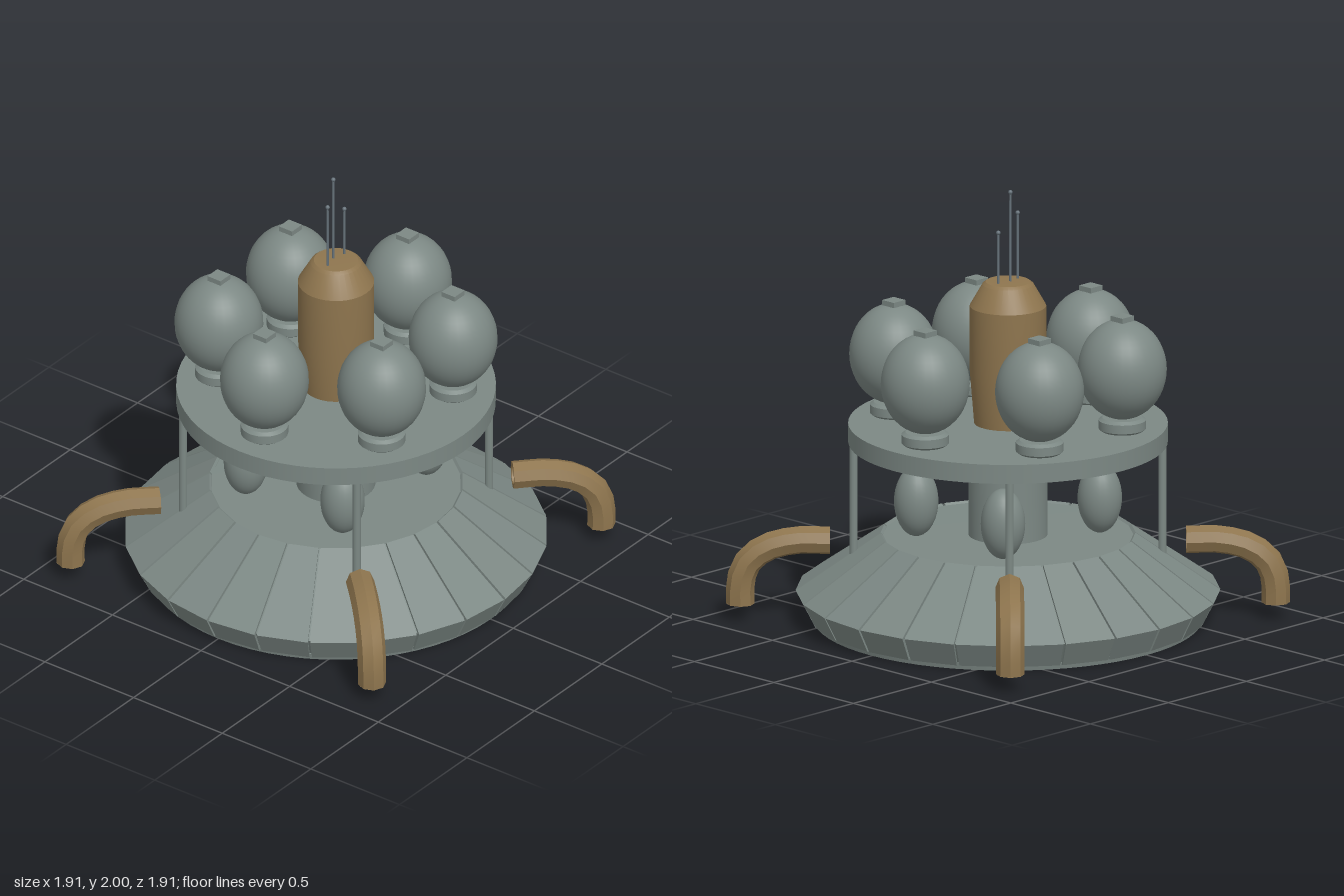
import * as THREE from 'three';
import { toCreasedNormals } from 'three/addons/utils/BufferGeometryUtils.js';

const hull = new THREE.MeshStandardMaterial({ color: 0x7c8884 });
hull.name = 'greyGreenHull';
const bronze = new THREE.MeshStandardMaterial({ color: 0x8e754e, side: THREE.DoubleSide });
bronze.name = 'bronze';
const aerial = new THREE.MeshStandardMaterial({ color: 0x66727a });
aerial.name = 'aerialMetal';

function add(parent, name, geometry, material, x = 0, y = 0, z = 0) {
  const mesh = new THREE.Mesh(geometry, material);
  mesh.name = name;
  mesh.position.set(x, y, z);
  parent.add(mesh);
  return mesh;
}

// Surface of revolution from [radius, height] pairs, listed upwards
function lathe(profile, segments, crease = 0.4) {
  const points = profile.map(([r, y]) => new THREE.Vector2(r, y));
  return toCreasedNormals(new THREE.LatheGeometry(points, segments), crease);
}

const PANELS = 24;
const STEP = (Math.PI * 2) / PANELS;

// One bent plate of the dish skirt, with a small gap on either side
function panelGeometry() {
  const section = [[0.895, 0.022], [0.953, 0.135], [0.572, 0.401], [0.555, 0.385], [0.93, 0.125], [0.88, 0.022]];
  const gap = 0.006;
  const end = (angle, shift) => section.map(([r, y]) => [
    r * Math.sin(angle) + shift * Math.cos(angle), y,
    r * Math.cos(angle) - shift * Math.sin(angle),
  ]);
  const left = end(-STEP / 2, gap);
  const right = end(STEP / 2, -gap);
  const positions = [];
  const quad = (a, b, c, d) => positions.push(...a, ...b, ...c, ...a, ...c, ...d);
  for (let i = 0; i < 6; i++) {
    const j = (i + 1) % 6;
    quad(left[i], right[i], right[j], left[j]);
  }
  for (const [a, b, c, d] of [[0, 1, 4, 5], [1, 2, 3, 4]]) {
    quad(left[a], left[b], left[c], left[d]);
    quad(right[d], right[c], right[b], right[a]);
  }
  const geometry = new THREE.BufferGeometry();
  geometry.setAttribute('position', new THREE.Float32BufferAttribute(positions, 3));
  geometry.computeVertexNormals();
  return geometry;
}

function createDish() {
  const dish = new THREE.Group();
  dish.name = 'dish';
  add(dish, 'dishBottom', new THREE.CylinderGeometry(0.88, 0.873, 0.03, 64), hull, 0, 0.015, 0);
  add(dish, 'dishCore', lathe([[0.87, 0.025], [0.935, 0.132], [0.562, 0.392], [0, 0.396]], PANELS, 0.1), hull);
  const panel = panelGeometry();
  for (let i = 0; i < PANELS; i++) {
    add(dish, 'skirtPanel', panel, hull).rotation.y = (i + 0.5) * STEP;
  }
  return dish;
}

// Hollow elbow pipe running outward along local x, then down
function createPipe() {
  const pipe = new THREE.Group();
  pipe.name = 'elbowPipe';
  const path = new THREE.CatmullRomCurve3(
    [[0.8, 0.367], [0.96, 0.367], [1.09, 0.332], [1.17, 0.265], [1.2, 0.18], [1.202, 0.075]]
      .map(([x, y]) => new THREE.Vector3(x, y, 0)));
  const outer = 0.064, inner = 0.045;
  add(pipe, 'pipeOuter', toCreasedNormals(new THREE.TubeGeometry(path, 9, outer, 8), 0.5), bronze);
  add(pipe, 'pipeInner', new THREE.TubeGeometry(path, 9, inner, 8), bronze);
  const rim = new THREE.RingGeometry(inner, outer, 8);
  add(pipe, 'innerRim', rim, bronze, 0.8, 0.367, 0).rotation.y = -Math.PI / 2;
  add(pipe, 'lowerRim', rim, bronze, 1.202, 0.075, 0).rotation.x = Math.PI / 2;
  return pipe;
}

// Egg tank on a bevelled collar, with a square cap
function createTank() {
  const tank = new THREE.Group();
  tank.name = 'tank';
  const collar = [[0.09, 0.912], [0.107, 0.925], [0.107, 0.965], [0.09, 0.977], [0, 0.977]];
  add(tank, 'collar', lathe(collar, 32), hull);
  add(tank, 'tankBody', new THREE.SphereGeometry(1, 32, 24), hull, 0, 1.2, 0).scale.set(0.2, 0.229, 0.2);
  add(tank, 'tankCap', new THREE.BoxGeometry(0.074, 0.024, 0.074), hull, 0, 1.436, 0);
  return tank;
}

export function createModel() {
  const model = new THREE.Group();
  model.name = 'station';
  model.add(createDish());

  // Central column and upper platform
  add(model, 'column', lathe([[0.178, 0.39], [0.178, 0.716], [0.122, 0.835]], 32), hull);
  add(model, 'platform', new THREE.CylinderGeometry(0.718, 0.718, 0.088, 64), hull, 0, 0.871, 0);

  // Posts, pods and pipes, one of each per quarter
  const post = new THREE.CylinderGeometry(0.019, 0.019, 0.54, 12);
  const pod = new THREE.SphereGeometry(1, 24, 18);
  for (const sx of [-1, 1]) {
    for (const sz of [-1, 1]) {
      add(model, 'post', post, hull, sx * 0.49, 0.57, sz * 0.49);
      add(model, 'pod', pod, hull, sx * 0.31, 0.557, sz * 0.273).scale.set(0.1, 0.162, 0.1);
      const pipe = createPipe();
      pipe.rotation.y = Math.atan2(-sz, sx);
      model.add(pipe);
    }
  }

  // Ring of six tanks
  for (let i = 0; i < 6; i++) {
    const angle = (i * Math.PI) / 3;
    const tank = createTank();
    tank.position.set(0.53 * Math.cos(angle), 0, 0.53 * Math.sin(angle));
    model.add(tank);
  }

  // Bronze tower
  const tower = [[0.152, 0.91], [0.172, 1.16], [0.172, 1.46], [0.115, 1.56], [0.1, 1.572], [0, 1.577]];
  add(model, 'tower', lathe(tower, 32), bronze);

  // Aerials with ball tips
  for (const [x, top, z] of [[-0.062, 1.88, 0], [0, 1.99, -0.015], [0.062, 1.81, 0]]) {
    const length = top - 1.55;
    add(model, 'aerialRod', new THREE.CylinderGeometry(0.005, 0.006, length, 8), aerial, x, 1.55 + length / 2, z);
    add(model, 'aerialTip', new THREE.SphereGeometry(0.01, 12, 8), aerial, x, top, z);
  }
  return model;
}
